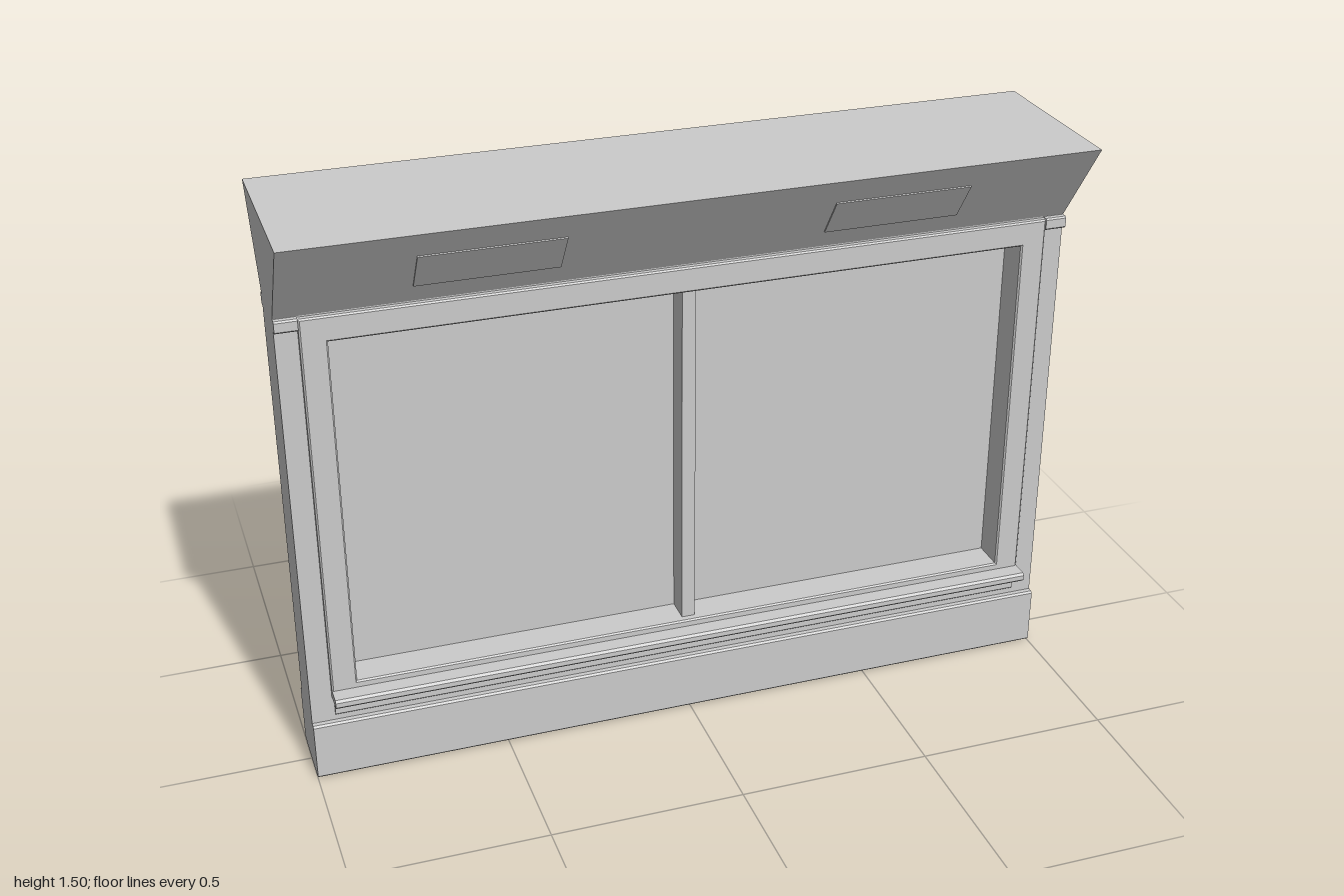
import * as THREE from 'three';

const material = new THREE.MeshStandardMaterial({ color: 0xcccccc, flatShading: true });
const WALL = 0.077; // half thickness of the wall

function addMesh(parent, name, geometry) {
  const mesh = new THREE.Mesh(geometry, material);
  mesh.name = name;
  parent.add(mesh);
  return mesh;
}

function rect(Type, x, y0, y1) {
  return new Type([[-x, y0], [x, y0], [x, y1], [-x, y1]].map(([a, b]) => new THREE.Vector2(a, b)));
}

// Panel with a rectangular opening, extruded along z
function framed(outer, inner, depth, bevel) {
  const shape = rect(THREE.Shape, ...outer);
  shape.holes.push(rect(THREE.Path, ...inner));
  return new THREE.ExtrudeGeometry(shape, {
    depth: depth - bevel, bevelEnabled: bevel > 0, bevelSize: bevel, bevelOffset: -bevel,
    bevelThickness: bevel, bevelSegments: 1,
  });
}

// Sweeps a (z, y) profile along x between x0 and x1
function sweep(points, x0, x1) {
  const shape = new THREE.Shape(points.map(([z, y]) => new THREE.Vector2(-z, y)));
  return new THREE.ExtrudeGeometry(shape, { depth: x1 - x0, bevelEnabled: false })
    .rotateY(Math.PI / 2).translate(x0, 0, 0);
}

// Moulding profile from the wall surface out to z, with chamfered outer corners
function moulding(z, y0, y1, c) {
  return [[WALL - 0.005, y0], [z - c, y0], [z, y0 + c], [z, y1 - c], [z - c, y1], [WALL - 0.005, y1]];
}

function createFace(name) {
  const face = new THREE.Group();
  face.name = name;

  addMesh(face, 'baseboard', sweep(moulding(0.095, 0.003, 0.16, 0.005), -1, 1));

  // Window casing, sill and stepped apron
  addMesh(face, 'windowCasing', framed([0.945, 0.235, 1.272], [0.88, 0.273, 1.207], 0.016, 0.004))
    .position.z = WALL;
  addMesh(face, 'windowSill', sweep(moulding(0.14, 0.23, 0.255, 0.006), -0.945, 0.945));
  addMesh(face, 'upperApron', sweep(moulding(0.092, 0.21, 0.23, 0.003), -0.94, 0.94));
  addMesh(face, 'lowerApron', sweep(moulding(0.085, 0.178, 0.21, 0.003), -0.94, 0.94));

  // Short trim pieces beside the casing
  for (const x0 of [-1, 0.945]) {
    addMesh(face, 'cornerTrim', sweep(moulding(0.094, 1.243, 1.274, 0.004), x0, x0 + 0.055));
  }

  // Flush plates on the sloping cornice
  for (const x of [-0.505, 0.505]) {
    const plate = addMesh(face, 'cornicePlate', new THREE.BoxGeometry(0.35, 0.122, 0.008));
    plate.position.set(x, 1.38, 0.15);
    plate.rotation.x = Math.atan2(0.158, 0.225);
  }
  return face;
}

export function createModel() {
  const model = new THREE.Group();
  model.name = 'windowWall';

  // Wall with its window opening
  addMesh(model, 'wall', framed([1, 0, 1.275], [0.88, 0.273, 1.207], WALL * 2, 0))
    .position.z = -WALL;

  // Flared cornice
  addMesh(model, 'cornice', sweep([[-WALL, 1.275], [WALL, 1.275], [0.235, 1.5], [-0.235, 1.5]], -1, 1));

  // Pane and central mullion
  const pane = addMesh(model, 'windowPane', new THREE.BoxGeometry(1.77, 0.94, 0.01));
  pane.position.y = 0.74;
  const mullion = addMesh(model, 'mullion', new THREE.BoxGeometry(0.035, 0.934, 0.146));
  mullion.position.y = 0.74;

  // Identical mouldings on both faces
  const back = createFace('backFace');
  back.rotation.y = Math.PI;
  model.add(createFace('frontFace'), back);
  return model;
}
